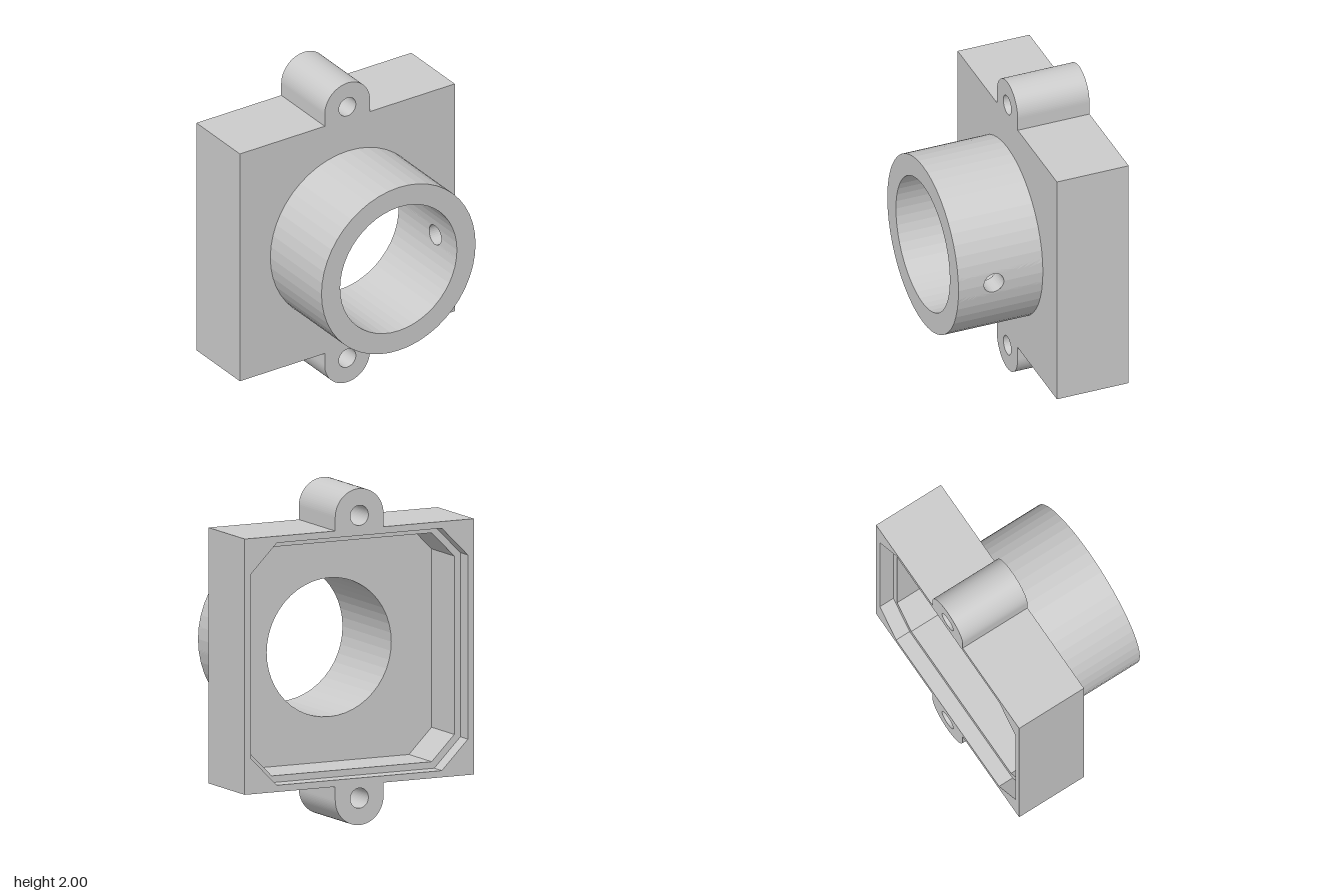
import * as THREE from 'three';

const SEG = 48, STEP = (Math.PI * 2) / SEG;
const HALF = STEP * 2;                        // half angle of the collar patch around the side hole
const BACK = -0.495, FRONT = -0.04, TIP = 0.495;
const OUTER = 0.545, BORE = 0.413, CY = 1;
const HOLE_R = 0.063, HOLE_Z = 0.27;

const material = new THREE.MeshStandardMaterial({ color: 0xcccccc, flatShading: true });
const openMaterial = new THREE.MeshStandardMaterial({ color: 0xcccccc, flatShading: true, side: THREE.DoubleSide });

function add(group, name, geometry, mat = material) {
  const mesh = new THREE.Mesh(geometry, mat);
  mesh.name = name;
  group.add(mesh);
}

function circle(x, y, r) {
  return new THREE.Path().absarc(x, y, r, 0, Math.PI * 2, true);
}

// Square opening with chamfered corners
function octagon(h, c) {
  const k = h - c;
  return new THREE.Path([[h, -k], [h, k], [k, h], [-k, h], [-h, k], [-h, -k], [-k, -h], [k, -h]]
    .map(([x, y]) => new THREE.Vector2(x, y)));
}

// One slice of the housing: square with two rounded mounting ears
function layer(z0, z1, opening) {
  const s = 0.76, e = 0.16, ey = 0.84;
  const shape = new THREE.Shape();
  shape.moveTo(s, -s);
  shape.lineTo(s, s);
  shape.lineTo(e, s);
  shape.absarc(0, ey, e, 0, Math.PI, false);
  shape.lineTo(-e, s);
  shape.lineTo(-s, s);
  shape.lineTo(-s, -s);
  shape.lineTo(-e, -s);
  shape.absarc(0, -ey, e, Math.PI, Math.PI * 2, false);
  shape.lineTo(e, -s);
  shape.closePath();
  shape.holes.push(opening, circle(0, ey, 0.06), circle(0, -ey, 0.06));
  return new THREE.ExtrudeGeometry(shape, { depth: z1 - z0, bevelEnabled: false, curveSegments: SEG / 2 })
    .translate(0, CY, z0);
}

// Surface through a list of closed rings with equal point counts
function loft(rings) {
  const n = rings[0].length, index = [];
  for (let k = 0; k < rings.length - 1; k++) {
    for (let i = 0; i < n; i++) {
      const a = k * n + i, b = k * n + (i + 1) % n;
      index.push(a, a + n, b + n, a, b + n, b);
    }
  }
  const geometry = new THREE.BufferGeometry().setFromPoints(rings.flat());
  geometry.setIndex(index);
  geometry.computeVertexNormals();
  return geometry;
}

// Point on the faceted collar wall of radius r at height y and depth z
function onWall(r, y, z) {
  const k = Math.floor(Math.asin(y / r) / STEP + 1e-6);
  const y0 = r * Math.sin(k * STEP), y1 = r * Math.sin((k + 1) * STEP);
  const x = THREE.MathUtils.lerp(r * Math.cos(k * STEP), r * Math.cos((k + 1) * STEP), (y - y0) / (y1 - y0));
  return new THREE.Vector3(x, y + CY, z);
}

// Piece of collar wall pierced by the side hole
function piercedPatch(r) {
  const border = [], n = 12;
  for (let side = 0; side < 4; side++) {
    for (let i = 0; i < n; i++) {
      const t = side < 2 ? i / n : 1 - i / n;
      const along = side % 2 === 0;
      const angle = along ? HALF * (2 * t - 1) : (side === 1 ? HALF : -HALF);
      const z = along ? (side === 0 ? FRONT : TIP) : FRONT + (TIP - FRONT) * t;
      border.push([r * Math.sin(angle), z]);
    }
  }
  const rings = [];
  for (let k = 0; k <= 6; k++) {
    rings.push(border.map(([y, z]) => {
      const a = Math.atan2(z - HOLE_Z, y), t = k / 6;
      return onWall(r,
        THREE.MathUtils.lerp(HOLE_R * Math.cos(a), y, t),
        THREE.MathUtils.lerp(HOLE_Z + HOLE_R * Math.sin(a), z, t));
    }));
  }
  return loft(rings);
}

// Remaining collar wall, leaving room for the pierced patch
function wall(r) {
  return new THREE.CylinderGeometry(r, r, TIP - FRONT, SEG - 4, 1, true, Math.PI / 2 + HALF, Math.PI * 2 - 2 * HALF)
    .rotateX(Math.PI / 2)
    .translate(0, CY, (TIP + FRONT) / 2);
}

export function createModel() {
  const model = new THREE.Group();
  model.name = 'flangedCollarHousing';

  // Housing: front plate, pocket wall and the wider recess at the back
  const housing = new THREE.Group();
  housing.name = 'housing';
  add(housing, 'frontPlate', layer(-0.115, FRONT, circle(0, 0, BORE)));
  add(housing, 'pocketWall', layer(-0.4, -0.115, octagon(0.68, 0.15)));
  add(housing, 'rearRecess', layer(BACK, -0.4, octagon(0.72, 0.173)));
  model.add(housing);

  // Collar with one radial hole on its left side
  const collar = new THREE.Group();
  collar.name = 'collar';
  for (const [name, r] of [['outer', OUTER], ['inner', BORE]]) {
    add(collar, name + 'Wall', wall(r), openMaterial);
    add(collar, name + 'PiercedWall', piercedPatch(r), openMaterial);
  }
  add(collar, 'collarRim', new THREE.RingGeometry(BORE, OUTER, SEG).translate(0, CY, TIP));
  const holeRing = (r) => Array.from({ length: 32 }, (_, i) => {
    const a = (i / 32) * Math.PI * 2;
    return onWall(r, HOLE_R * Math.cos(a), HOLE_Z + HOLE_R * Math.sin(a));
  });
  add(collar, 'sideHole', loft([holeRing(BORE), holeRing(OUTER)]), openMaterial);
  model.add(collar);

  return model;
}
